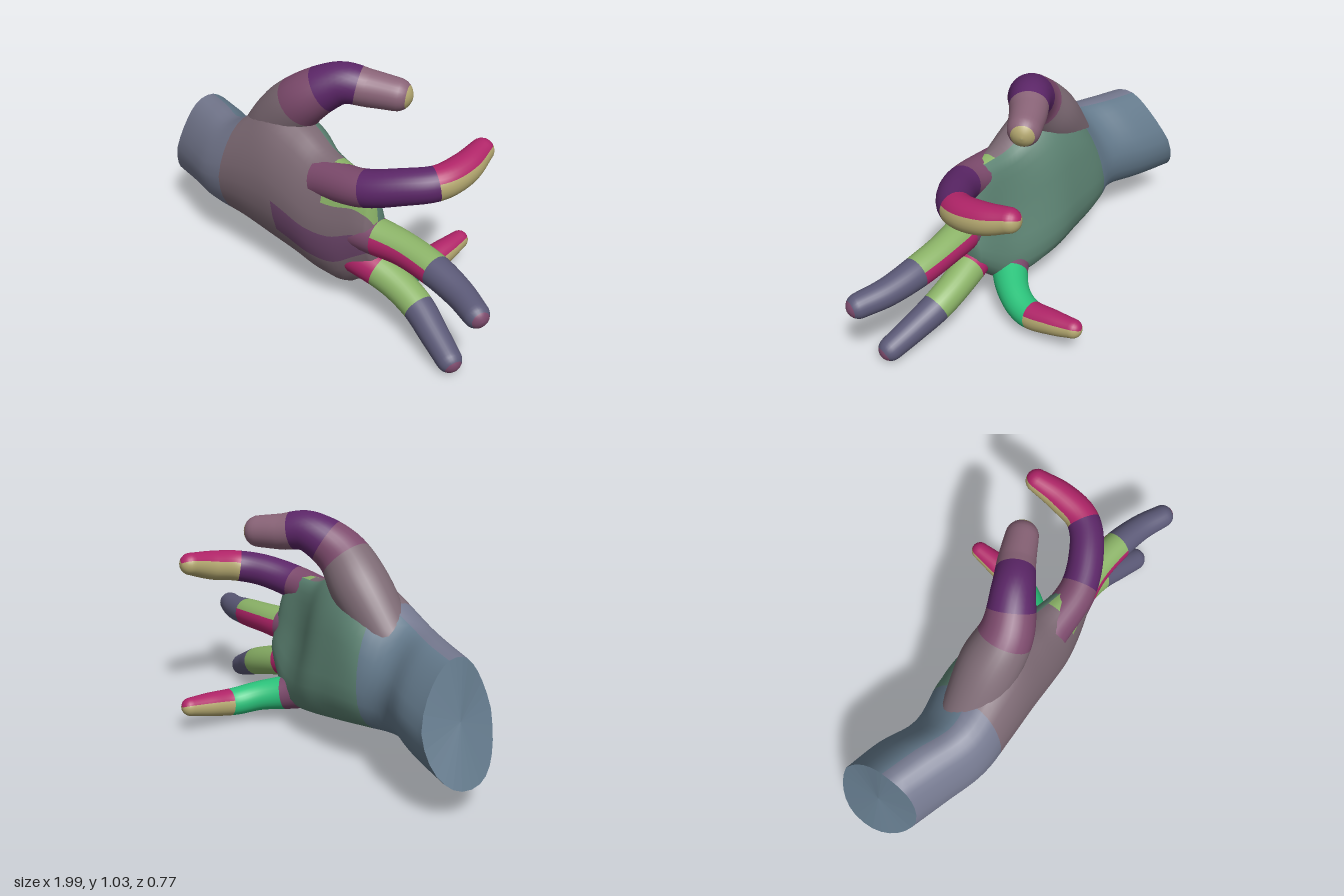
import * as THREE from 'three';

const SIDES = 28;
const C = {
  wrist: 0x74788e, back: 0x7d6a74, palm: 0x5c8272, heel: 0x647a8c, streak: 0x70486e,
  purple: 0x5c2668, green: 0x8cb468, magenta: 0xb02468, emerald: 0x2cc47c,
  yellow: 0xb4a870, slate: 0x5c5a78, pink: 0x8a6478, rose: 0x7c4a6c,
};

// Skins a list of rings; every quad is sorted into a mesh by its colour
function skin(name, rings, colourOf) {
  const position = new THREE.Float32BufferAttribute(rings.flat().flatMap((p) => [p.x, p.y, p.z]), 3);
  const all = [], byColour = new Map();
  for (let i = 0; i < rings.length - 1; i++) {
    for (let j = 0; j < SIDES; j++) {
      const k = (j + 1) % SIDES;
      const a = i * SIDES + j, b = i * SIDES + k, c = a + SIDES, d = b + SIDES;
      const quad = [a, b, c, b, d, c];
      const colour = colourOf(i, ((j + 0.5) / SIDES) * Math.PI * 2);
      if (!byColour.has(colour)) byColour.set(colour, []);
      byColour.get(colour).push(...quad);
      all.push(...quad);
    }
  }
  // Normals come from the whole skin so that colour borders stay smooth
  const whole = new THREE.BufferGeometry();
  whole.setAttribute('position', position);
  whole.setIndex(all);
  whole.computeVertexNormals();
  const group = new THREE.Group();
  group.name = name;
  for (const [colour, index] of byColour) {
    const geometry = new THREE.BufferGeometry();
    geometry.setAttribute('position', position);
    geometry.setAttribute('normal', whole.attributes.normal);
    geometry.setIndex(index);
    const mesh = new THREE.Mesh(geometry, new THREE.MeshStandardMaterial({ color: colour }));
    mesh.name = name + 'Skin';
    group.add(mesh);
  }
  return group;
}

// Tapered finger with a round tip. points: [x, y, z, radius];
// bands: [end of band 0..1, colour, colour of the upper side]
function finger(name, points, bands, up) {
  const path = new THREE.CatmullRomCurve3(points.map((p) => new THREE.Vector3(p[0], p[1], p[2])), false, 'catmullrom');
  const radii = new THREE.CatmullRomCurve3(points.map((p) => new THREE.Vector3(p[3], 0, 0)), false, 'catmullrom');
  const STEPS = 36, TIP = 6, rings = [];
  for (let i = 0; i <= STEPS + TIP; i++) {
    const t = Math.min(1, i / STEPS);
    const bend = (Math.max(0, i - STEPS) / TIP) * Math.PI * 0.498;
    const tangent = path.getTangent(t);
    const r = radii.getPoint(t).x;
    const centre = path.getPoint(t).addScaledVector(tangent, r * Math.sin(bend));
    const across = tangent.clone().cross(up).normalize();
    const over = across.clone().cross(tangent);
    const ring = [];
    for (let j = 0; j < SIDES; j++) {
      const a = (j / SIDES) * Math.PI * 2, s = r * Math.cos(bend);
      ring.push(centre.clone().addScaledVector(over, s * Math.cos(a)).addScaledVector(across, s * Math.sin(a)));
    }
    rings.push(ring);
  }
  return skin(name, rings, (i, a) => {
    const band = bands.find((b) => i / STEPS < b[0]) || bands[bands.length - 1];
    return band[2] !== undefined && Math.cos(a) > 0.35 ? band[2] : band[1];
  });
}

// Wrist and palm: lower-inner and upper-outer corners of each cross-section
function palm() {
  const sections = [
    [-1.0, 0.14, -0.115, -0.83, 0.615, 0.27],
    [-0.78, 0.165, -0.07, -0.67, 0.625, 0.325],
    [-0.58, 0.18, 0.0, -0.5, 0.645, 0.375],
    [-0.4, 0.165, -0.02, -0.33, 0.74, 0.38],
    [-0.2, 0.13, -0.02, -0.19, 0.8, 0.375],
    [-0.05, 0.11, -0.025, -0.05, 0.76, 0.37],
    [0.08, 0.09, 0.005, 0.08, 0.7, 0.36],
    [0.2, 0.095, 0.055, 0.2, 0.685, 0.335],
    [0.3, 0.18, 0.11, 0.3, 0.675, 0.305],
    [0.36, 0.25, 0.15, 0.36, 0.62, 0.28],
  ];
  const curve = (k) => new THREE.CatmullRomCurve3(
    sections.map((s) => new THREE.Vector3(s[k], s[k + 1], s[k + 2])), false, 'catmullrom');
  const low = curve(0), high = curve(3);
  const STEPS = 45, LEAN = 0.06, rings = [];
  const soft = (v) => Math.sign(v) * Math.abs(v) ** 0.9;
  for (let i = 0; i <= STEPS; i++) {
    const t = i / STEPS, lo = low.getPoint(t), hi = high.getPoint(t);
    const hollow = 0.075 * Math.exp(-(((t - 0.7) / 0.17) ** 2));
    const saddle = 0.035 * Math.max(0, 1 - t * 5);
    const wrist = 1 - THREE.MathUtils.smoothstep(t, 0.2, 0.4);
    const ring = [];
    for (let j = 0; j < SIDES; j++) {
      const a = (j / SIDES) * Math.PI * 2, c = Math.cos(a), s = Math.sin(a);
      const fy = 0.5 + 0.5 * soft(c), fz = 0.5 + 0.5 * soft(s);
      const p = new THREE.Vector3(
        THREE.MathUtils.lerp(lo.x, hi.x, fy) + saddle * s * s,
        THREE.MathUtils.lerp(lo.y, hi.y, fy),
        THREE.MathUtils.lerp(lo.z, hi.z, fz) + LEAN * (fy - 0.5));
      // Thumb side narrower than the little-finger side
      if (c > 0) p.z -= (s > 0 ? 0.05 : 0.07 * wrist) * s * c;
      // Fuller pad below the little finger
      if (c < 0 && s < 0) p.z -= 0.05 * (1 - wrist) * s * c;
      // Cupped inner side, deeper towards the thumb
      if (s < 0) p.z += hollow * s * s * (0.4 + fy);
      ring.push(p);
    }
    rings.push(ring);
  }
  // Rounded closing between the finger roots
  const end = rings[STEPS], mid = new THREE.Vector3(0.36, 0.435, 0.215);
  for (const [scale, push] of [[0.7, 0.015], [0.01, 0.02]]) {
    rings.push(end.map((p) => p.clone().lerp(mid, 1 - scale).add(new THREE.Vector3(push, 0, 0))));
  }
  const group = skin('palm', rings, (i, a) => {
    const t = i / STEPS, c = Math.cos(a), s = Math.sin(a);
    if (s < -0.15) return t < 0.3 ? C.heel : C.palm;
    if (t < 0.27) return C.wrist;
    if (t > 0.72 && c > 0.45) return C.green;
    if (t > 0.5 && c < 0 && c > -0.4) return C.streak;
    return C.back;
  });
  // Cut at the wrist
  const rim = rings[0];
  const centre = rim.reduce((sum, p) => sum.add(p), new THREE.Vector3()).divideScalar(SIDES);
  const cut = new THREE.BufferGeometry().setFromPoints(
    rim.flatMap((p, j) => [centre, rim[(j + 1) % SIDES], p]));
  cut.computeVertexNormals();
  const cap = new THREE.Mesh(cut, new THREE.MeshStandardMaterial({ color: C.heel }));
  cap.name = 'wristCut';
  group.add(cap);
  return group;
}

export function createModel() {
  const hand = new THREE.Group();
  hand.name = 'hand';
  const Y = new THREE.Vector3(0, 1, 0), Z = new THREE.Vector3(0, 0, 1);
  hand.add(
    palm(),
    finger('thumb', [
      [-0.4, 0.54, 0.17, 0.11], [-0.23, 0.73, 0.16, 0.13], [-0.1, 0.86, 0.155, 0.112],
      [0.03, 0.945, 0.085, 0.09], [0.14, 0.935, 0.02, 0.079], [0.24, 0.925, -0.03, 0.07],
    ], [[0.34, C.back], [0.48, C.rose], [0.72, C.purple], [1.08, C.pink], [2, C.yellow]], Z),
    finger('indexFinger', [
      [0.08, 0.585, 0.24, 0.09], [0.3, 0.62, 0.235, 0.08], [0.46, 0.66, 0.165, 0.075],
      [0.56, 0.68, 0.07, 0.072], [0.582, 0.7, -0.06, 0.068], [0.57, 0.73, -0.185, 0.052],
    ], [[0.2, C.rose], [0.56, C.purple], [2, C.yellow, C.magenta]], Y),
    finger('middleFinger', [
      [0.1, 0.43, 0.255, 0.09], [0.33, 0.41, 0.215, 0.082], [0.5, 0.405, 0.2, 0.072],
      [0.67, 0.39, 0.21, 0.068], [0.82, 0.37, 0.24, 0.06], [0.94, 0.358, 0.287, 0.053],
    ], [[0.24, C.rose], [0.59, C.magenta, C.green], [1.06, C.slate], [2, C.rose]], Y),
    finger('ringFinger', [
      [0.08, 0.3, 0.235, 0.085], [0.28, 0.255, 0.2, 0.08], [0.44, 0.21, 0.185, 0.071],
      [0.58, 0.16, 0.195, 0.067], [0.7, 0.105, 0.23, 0.06], [0.81, 0.056, 0.265, 0.053],
    ], [[0.3, C.magenta], [0.6, C.green], [1.06, C.slate], [2, C.rose]], Y),
    finger('littleFinger', [
      [0.04, 0.19, 0.16, 0.08], [0.18, 0.148, 0.1, 0.08], [0.29, 0.12, 0.0, 0.069],
      [0.345, 0.1, -0.11, 0.064], [0.357, 0.115, -0.24, 0.055], [0.36, 0.13, -0.345, 0.042],
    ], [[0.24, C.rose], [0.62, C.emerald], [2, C.yellow, C.magenta]], Y),
  );
  return hand;
}
